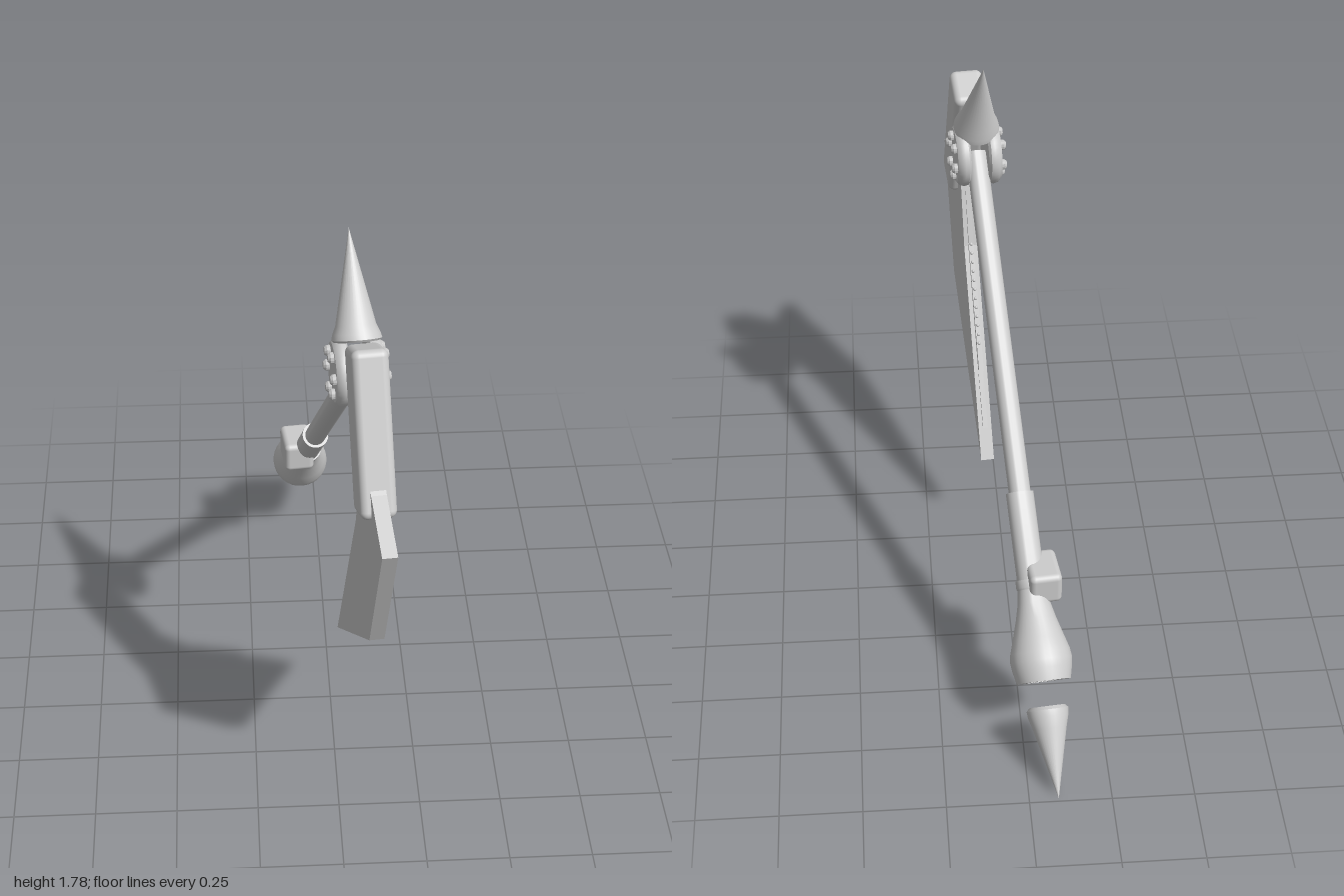
import * as THREE from 'three';
import { toCreasedNormals } from 'three/addons/utils/BufferGeometryUtils.js';
import { RoundedBoxGeometry } from 'three/addons/geometries/RoundedBoxGeometry.js';

export function createModel() {
  const steel = new THREE.MeshStandardMaterial({ color: 0xcccccc });
  steel.name = 'steel';

  const model = new THREE.Group();
  model.name = 'warAxe';
  // The whole weapon lies in an upright plane turned slightly about y
  const body = new THREE.Group();
  body.name = 'axeBody';
  body.position.x = 0.015;
  body.rotation.y = 0.105;
  model.add(body);

  const add = (name, geometry, parent = body, x = 0, y = 0, z = 0) => {
    const mesh = new THREE.Mesh(geometry, steel);
    mesh.name = name;
    mesh.position.set(x, y, z);
    parent.add(mesh);
    return mesh;
  };
  // Turned part from [radius, height] pairs
  const lathe = (profile, segments = 32) => toCreasedNormals(
    new THREE.LatheGeometry(profile.map(([r, h]) => new THREE.Vector2(r, h)), segments), 0.6);
  // Flat plate drawn in (z, y), centred on the plane
  const plate = (points, thickness) => {
    const shape = new THREE.Shape(points.map(([z, y]) => new THREE.Vector2(z, y)));
    const geometry = new THREE.ExtrudeGeometry(shape, { depth: thickness, bevelEnabled: false });
    geometry.translate(0, 0, -thickness / 2);
    geometry.rotateY(-Math.PI / 2);
    return geometry;
  };

  // Handle assembly: local +y runs from the hub to the pommel tip
  const HUB = { y: 1.42, z: 0.457 };
  const handle = new THREE.Group();
  handle.name = 'handle';
  handle.position.set(0, HUB.y, HUB.z);
  handle.rotation.x = Math.atan2(-0.719, -0.697);
  body.add(handle);

  add('shaft', lathe([[0, 0], [0.034, 0], [0.034, 1.2], [0, 1.2]]), handle);
  add('gripSleeve', lathe([[0, 1.09], [0.043, 1.09], [0.043, 1.37], [0, 1.37]]), handle);
  add('pommelBell', lathe([
    [0, 1.36], [0.048, 1.36], [0.048, 1.385], [0.045, 1.39], [0.05, 1.43], [0.062, 1.48],
    [0.08, 1.54], [0.092, 1.58], [0.095, 1.605], [0.092, 1.63], [0.083, 1.67],
    [0.055, 1.67], [0.05, 1.63], [0, 1.63],
  ]), handle);
  add('pommelSpike', lathe([
    [0, 1.745], [0.055, 1.745], [0.064, 1.755], [0.062, 1.775], [0.052, 1.81], [0, 2.022],
  ]), handle);

  // Small block on the side of the grip
  add('gripBlock', new RoundedBoxGeometry(0.1, 0.105, 0.142, 3, 0.018), body, -0.036, 0.482, -0.519);

  // Hub: two bolted discs either side of the shaft
  for (const side of [1, -1]) {
    const disc = new THREE.Group();
    disc.name = side > 0 ? 'leftHubDisc' : 'rightHubDisc';
    disc.position.set(0, HUB.y, HUB.z);
    disc.rotation.z = -side * Math.PI / 2;
    body.add(disc);
    add('disc', lathe([
      [0, 0.028], [0.088, 0.028], [0.098, 0.035], [0.101, 0.047], [0.097, 0.06],
      [0.086, 0.07], [0, 0.07],
    ], 40), disc);
    for (let i = 0; i < 6; i++) {
      const a = 0.22 + i * Math.PI / 3;
      add('bolt', lathe([[0.016, 0.06], [0.016, 0.08], [0.011, 0.087], [0, 0.088]], 12),
        disc, side * 0.063 * Math.sin(a), 0, -0.063 * Math.cos(a));
    }
  }

  // Spike above the hub
  const spike = add('topSpike', lathe([
    [0, 0], [0.066, 0], [0.072, 0.006], [0.068, 0.022], [0.058, 0.045], [0, 0.317],
  ]), body, 0, 1.515, 0.453);
  spike.rotation.x = Math.atan2(-0.148, 0.28);

  // Block that carries the blade
  const block = add('bladeBlock', new RoundedBoxGeometry(0.105, 0.475, 0.136, 4, 0.022),
    body, 0, 1.369, 0.691);
  block.rotation.x = Math.atan2(-0.383, 0.924);

  // Blade, with a thin toothed insert along its inner edge
  add('blade', plate([
    [1.003, 1.166], [0.831, 0.738], [0.272, 0.326], [0.589, 0.99], [0.65, 1.23],
    [0.669, 1.3], [0.734, 1.3], [0.825, 1.246],
  ], 0.044));
  add('toothedEdge', plate([
    [0.68, 1.1], [0.33, 0.433], [0.312, 0.433], [0.407, 0.62], [0.387, 0.615],
    [0.581, 1.0], [0.646, 1.23],
  ], 0.016));

  // Row of small studs on the inner edge
  for (let i = 0; i < 12; i++) {
    const t = i / 11;
    add('edgeStud', new THREE.SphereGeometry(0.006, 8, 6), body, 0,
      1.0 - 0.3 * t, 0.582 - 0.151 * t);
  }
  return model;
}
